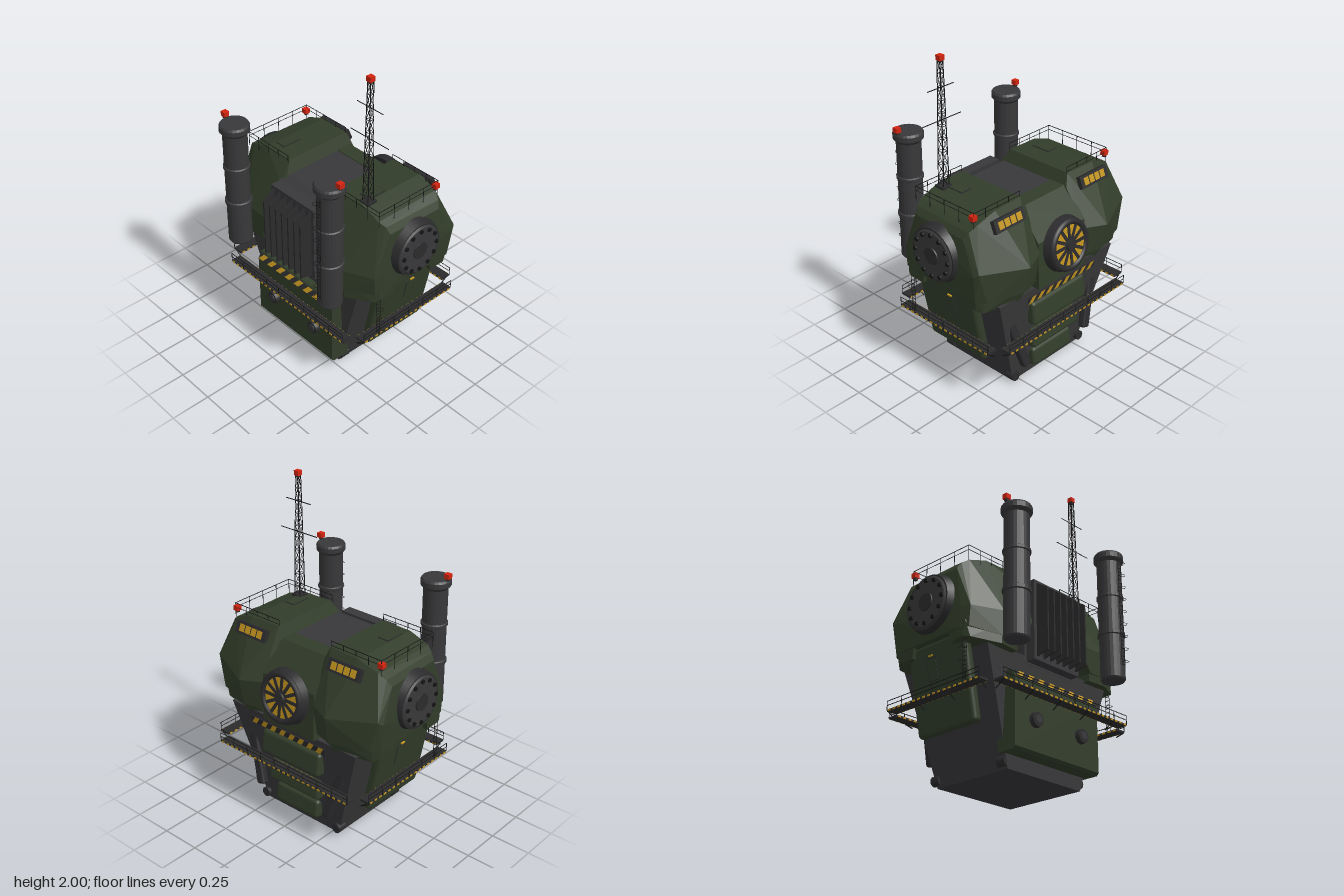
import * as THREE from 'three';
import { RoundedBoxGeometry } from 'three/addons/geometries/RoundedBoxGeometry.js';
import { ConvexGeometry } from 'three/addons/geometries/ConvexGeometry.js';

const mat = (name, color) => Object.assign(new THREE.MeshStandardMaterial({ color }), { name });
const V = (x, y, z) => new THREE.Vector3(x, y, z);

export function createModel() {
  const green = mat('armour green', 0x323d2a), grey = mat('hull grey', 0x38383a);
  const dark = mat('dark metal', 0x2b2b2d), black = mat('rail black', 0x151515);
  const yellow = mat('hazard yellow', 0xc0921e), red = mat('lamp red', 0xd42410);
  const model = new THREE.Group();

  const add = (name, geo, m, x = 0, y = 0, z = 0, parent = model) => {
    const mesh = new THREE.Mesh(geo, m);
    mesh.name = name;
    mesh.position.set(x, y, z);
    parent.add(mesh);
    return mesh;
  };
  const group = (name, x = 0, y = 0, z = 0, parent = model) => {
    const g = new THREE.Group();
    g.name = name;
    g.position.set(x, y, z);
    parent.add(g);
    return g;
  };
  const box = (name, w, h, d, m, x, y, z, parent) => add(name, new THREE.BoxGeometry(w, h, d), m, x, y, z, parent);
  const soft = (name, w, h, d, r, m, x, y, z, parent) => add(name, new RoundedBoxGeometry(w, h, d, 2, r), m, x, y, z, parent);
  const cyl = (name, r1, r2, h, n, m, x, y, z, parent) => add(name, new THREE.CylinderGeometry(r1, r2, h, n), m, x, y, z, parent);
  const hull = (name, pts, m) => add(name, new ConvexGeometry(pts.map(p => V(...p))), m);
  // thin bar between two points
  const bar = (name, a, b, r, m, parent = model) => {
    const d = b.clone().sub(a), mid = a.clone().add(b).multiplyScalar(0.5);
    const mesh = cyl(name, r, r, d.length(), 4, m, mid.x, mid.y, mid.z, parent);
    mesh.quaternion.setFromUnitVectors(V(0, 1, 0), d.normalize());
    return mesh;
  };
  // same profile (y, z pairs) on both sides of the centre plane
  const across = (w, prof) => prof.flatMap(([y, z]) => [[-w, y, z], [w, y, z]]);
  // slanted yellow stripes on a dark plate
  const hazard = (w, h, n, x, y, z) => {
    const g = group('hazardStrip', x, y, z), p = w / n;
    box('hazardPlate', w, h, 0.006, dark, 0, 0, 0, g);
    for (let i = 0; i < n; i++) {
      const x0 = -w / 2 + p * i, s = new THREE.Shape();
      s.moveTo(x0, -h / 2); s.lineTo(x0 + p * 0.5, -h / 2);
      s.lineTo(x0 + p * 0.9, h / 2); s.lineTo(x0 + p * 0.4, h / 2);
      add('hazardStripe', new THREE.ShapeGeometry(s), yellow, 0, 0, 0.004, g);
    }
    return g;
  };
  const lamp = (x, y, z) => {
    box('lampBase', 0.02, 0.02, 0.02, dark, x, y - 0.018, z);
    box('warningLamp', 0.034, 0.03, 0.034, red, x, y, z);
  };
  // caged ladder facing local +z
  const ladder = (x, y0, y1, z, turn) => {
    const g = group('ladder', x, 0, z);
    g.rotation.y = turn;
    for (const s of [-1, 1]) bar('ladderRail', V(s * 0.014, y0, 0), V(s * 0.014, y1, 0), 0.002, black, g);
    for (let y = y0 + 0.01; y < y1; y += 0.025) bar('rung', V(-0.014, y, 0), V(0.014, y, 0), 0.002, black, g);
    for (let y = y0 + 0.02; y <= y1; y += 0.08)
      add('cageHoop', new THREE.TorusGeometry(0.019, 0.0015, 4, 5), black, 0, y, 0.018, g).rotation.x = Math.PI / 2;
  };
  // railed catwalk, outer edge at local +z
  const catwalk = (len, x, z, turn) => {
    const g = group('catwalk', x, 0.405, z), h = len / 2;
    g.rotation.y = turn;
    box('deck', len, 0.012, 0.066, dark, 0, 0, 0, g);
    const n = Math.round(len / 0.04);
    for (let i = 0; i < n; i++) for (const e of [-1, 1])
      box('edgeTrim', len / n / 2, 0.01, 0.004, yellow, -h + (i + 0.5) * len / n, -0.001, e * 0.034, g);
    for (const y of [0.03, 0.056]) bar('rail', V(-h, y, 0.033), V(h, y, 0.033), 0.0025, black, g);
    const posts = Math.round(len / 0.12);
    for (let i = 0; i <= posts; i++) {
      const px = -h + i * len / posts;
      bar('post', V(px, 0, 0.033), V(px, 0.057, 0.033), 0.0025, black, g);
      if (i % 2 === 0) bar('bracket', V(px * 0.98, -0.004, 0.033), V(px * 0.98, -0.045, -0.03), 0.004, black, g);
    }
  };

  // tapered lower hull
  hull('lowerHull', [[0, 0.29, 0.21, -0.33], [0.66, 0.49, 0.25, -0.42]].flatMap(([y, x, f, b]) =>
    [[-x, y, f], [x, y, f], [-x, y, b], [x, y, b]]), grey);

  // front lower armour, stripes and round ports
  hull('frontApron', across(0.338, [[0.08, 0.18], [0.08, 0.295], [0.095, 0.31], [0.485, 0.31], [0.53, 0.285], [0.535, 0.2]]), green);
  hazard(0.66, 0.04, 8, 0, 0.507, 0.304).rotation.x = -0.5;
  for (const x of [-0.185, 0.185]) {
    cyl('frontPort', 0.04, 0.044, 0.03, 20, dark, x, 0.27, 0.322).rotation.x = Math.PI / 2;
    cyl('portCentre', 0.024, 0.024, 0.008, 16, grey, x, 0.27, 0.338).rotation.x = Math.PI / 2;
  }

  // rear lower armour
  for (const [y, h, w] of [[0.13, 0.12, 0.34], [0.29, 0.13, 0.4], [0.49, 0.15, 0.46]])
    soft('rearPanel', w, h, 0.07, 0.022, green, 0, y, -0.345 - y * 0.138 + 0.005).rotation.x = 0.137;
  hazard(0.58, 0.045, 8, 0, 0.625, -0.452).rotation.set(-0.14, Math.PI, 0);

  // centre body between the pods
  hull('centreBody', across(0.2, [[1.135, -0.3], [1.135, 0.18], [1.1, 0.25], [0.62, 0.25], [0.62, -0.3]]), grey);
  hull('rearCentre', across(0.2, [[1.14, -0.2], [1.14, -0.3], [0.96, -0.44], [0.66, -0.45], [0.66, -0.2]]), green);

  // radiator
  box('radiator', 0.37, 0.49, 0.07, grey, 0, 0.875, 0.275);
  for (let i = -3; i <= 3; i++)
    hull('radiatorFin', [-0.005, 0.005].flatMap(d => [[0.65, 0.3], [1.11, 0.3], [1.05, 0.392], [0.67, 0.392]]
      .map(([y, z]) => [i * 0.053 + d, y, z])), dark);

  // rear fan
  const fan = group('rearFan', 0, 0.89, -0.475);
  fan.rotation.set(0.15, Math.PI, 0);
  cyl('fanHousing', 0.16, 0.17, 0.05, 32, dark, 0, 0, 0, fan).rotation.x = Math.PI / 2;
  add('fanRim', new THREE.TorusGeometry(0.14, 0.02, 8, 32), dark, 0, 0, 0.022, fan);
  add('fanGlow', new THREE.CircleGeometry(0.122, 32), yellow, 0, 0, 0.028, fan);
  for (let i = 0; i < 12; i++) {
    const blade = group('fanBlade', 0, 0, 0.031, fan);
    blade.rotation.z = i * Math.PI / 6;
    box('blade', 0.02, 0.1, 0.004, dark, 0, 0.075, 0, blade);
  }
  cyl('fanHub', 0.032, 0.036, 0.02, 16, dark, 0, 0, 0.035, fan).rotation.x = Math.PI / 2;

  for (const s of [-1, 1]) {
    // faceted upper pod with front and rear feet
    hull('upperPod', [
      [.2, 1.21, .155], [.41, 1.21, .15], [.54, 1.165, .15], [.2, 1.21, -.3], [.41, 1.21, -.31], [.54, 1.165, -.3],
      [.17, 1.13, .2], [.58, 1.14, .13], [.605, 1.1, .12], [.585, 1.13, -.28], [.61, 1.09, -.26], [.17, 1.13, -.32],
      [.18, 1.08, .24], [.2, .84, .31], [.3, .69, .305], [.42, .84, .31], [.42, .69, .305],
      [.6, .84, .23], [.615, .84, .17], [.6, .72, .22], [.615, .72, .16],
      [.615, .72, -.2], [.635, .9, -.36], [.62, .92, -.39], [.615, .72, -.35],
      [.335, .89, -.505], [.335, .72, -.475], [.2, .9, -.45], [.2, .7, -.42], [.57, .72, -.4],
    ].map(([x, y, z]) => [s * x, y, z]), green);
    hull('frontFoot', [[.3, .645, .29], [.43, .645, .3], [.59, .66, .22], [.61, .67, .18], [.605, .66, .085], [.3, .645, .085],
      [.3, .76, .3], [.43, .76, .3], [.61, .76, .2], [.61, .76, .065], [.3, .76, .065]].map(([x, y, z]) => [s * x, y, z]), green);
    hull('rearFoot', [[.24, .64, -.39], [.335, .64, -.42], [.57, .64, -.37], [.6, .66, -.34], [.6, .66, -.23], [.24, .64, -.23],
      [.24, .76, -.42], [.335, .76, -.47], [.58, .76, -.38], [.615, .76, -.35], [.615, .76, -.2], [.24, .76, -.2]]
      .map(([x, y, z]) => [s * x, y, z]), green);

    // bolted side disc
    const disc = group('sideDisc', s * 0.6, 0.93, -0.062);
    disc.rotation.z = -s * Math.PI / 2;
    cyl('discBody', 0.165, 0.188, 0.07, 32, dark, 0, 0.02, 0, disc);
    cyl('discFace', 0.145, 0.16, 0.012, 32, grey, 0, 0.058, 0, disc);
    cyl('discHub', 0.052, 0.056, 0.018, 20, dark, 0, 0.063, 0, disc);
    for (let i = 0; i < 12; i++) {
      const a = i * Math.PI / 6;
      cyl('bolt', 0.013, 0.013, 0.024, 8, black, Math.cos(a) * 0.13, 0.062, Math.sin(a) * 0.13, disc);
    }

    // leaning side armour with a door
    const panel = group('sideArmour', s * 0.506, 0.48, -0.065);
    panel.rotation.z = -s * 0.2;
    soft('armourPlate', 0.062, 0.51, 0.45, 0.025, green, 0, 0, 0, panel);
    box('doorFrame', 0.005, 0.13, 0.076, dark, s * 0.031, 0.1, -0.04, panel);
    box('door', 0.008, 0.122, 0.068, green, s * 0.031, 0.1, -0.04, panel);
    box('doorLamp', 0.014, 0.008, 0.03, yellow, s * 0.034, 0.178, -0.04, panel);

    // exhaust stack
    const stack = [[0, .645], [.068, .645], [.074, .655], [.074, .92], [.082, .925], [.082, .945], [.074, .95], [.074, 1.165],
      [.081, 1.17], [.081, 1.185], [.074, 1.19], [.074, 1.405], [.091, 1.425], [.091, 1.455], [.083, 1.468], [0, 1.468]];
    const stackGeo = new THREE.LatheGeometry(stack.map(p => new THREE.Vector2(...p)), 24).toNonIndexed();
    stackGeo.computeVertexNormals();
    add('exhaustStack', stackGeo, grey, s * 0.405, 0, 0.386);
    lamp(s * 0.487, 1.495, 0.386);

    // roof rails, lamp and hatch
    const corners = [V(s * 0.2, 1.245, 0.165), V(s * 0.56, 1.245, 0.165), V(s * 0.56, 1.245, -0.295), V(s * 0.2, 1.245, -0.295)];
    for (let i = 0; i < 3; i++) {
      const a = corners[i], b = corners[i + 1], low = V(0, -0.028, 0);
      bar('roofRail', a, b, 0.0025, black);
      bar('roofRail', a.clone().add(low), b.clone().add(low), 0.002, black);
      for (let k = 0; k <= 4; k++) {
        const p = a.clone().lerp(b, k / 4);
        bar('roofPost', V(p.x, 1.15, p.z), p, 0.0025, black);
      }
    }
    lamp(s * 0.555, 1.212, -0.285);
    box('hatchFrame', 0.075, 0.006, 0.13, dark, s * 0.363, 1.211, 0.025);
    box('hatch', 0.067, 0.009, 0.122, green, s * 0.363, 1.211, 0.025);

    // rear floodlight bar
    const flood = group('floodlights', s * 0.358, 1.145, -0.36);
    flood.rotation.set(0.4, Math.PI, 0);
    box('floodHousing', 0.235, 0.075, 0.028, dark, 0, 0, 0, flood);
    for (let i = -1.5; i < 2; i++) box('floodLens', 0.038, 0.045, 0.006, yellow, i * 0.047, 0, 0.014, flood);

    // rear corner bars and feet
    soft('rearCornerBar', 0.06, 0.4, 0.05, 0.015, dark, s * 0.32, 0.34, -0.385).rotation.set(0.137, 0, -s * 0.29);
    cyl('cornerRoller', 0.03, 0.03, 0.06, 16, dark, s * 0.29, 0.045, -0.33).rotation.x = Math.PI / 2;
    cyl('frontRoller', 0.03, 0.03, 0.06, 16, dark, s * 0.29, 0.045, 0.18).rotation.x = Math.PI / 2;

    catwalk(0.73, s * 0.565, -0.065, s * Math.PI / 2);
    ladder(s * 0.595, 0.42, 0.66, 0.185, s * Math.PI / 2);
  }
  catwalk(1.02, 0, 0.355, 0);
  catwalk(1.02, 0, -0.482, Math.PI);
  ladder(0.405, 0.72, 1.4, 0.468, 0);

  // lattice mast
  const mast = group('mast', 0.405, 0, 0.1), levels = 10;
  box('mastBase', 0.07, 0.015, 0.07, dark, 0, 1.212, 0, mast);
  const corner = (l, k) => {
    const r = 0.022 - 0.011 * l / levels, a = Math.PI / 4 + k * Math.PI / 2;
    return V(Math.cos(a) * r * 1.41, 1.2 + 0.77 * l / levels, Math.sin(a) * r * 1.41);
  };
  for (let k = 0; k < 4; k++) {
    bar('mastLeg', corner(0, k), corner(levels, k), 0.0035, black, mast);
    for (let l = 0; l < levels; l++) {
      bar('mastBrace', corner(l, k + (l % 2)), corner(l + 1, k + 1 - (l % 2)), 0.002, black, mast);
      bar('mastRing', corner(l + 1, k), corner(l + 1, k + 1), 0.002, black, mast);
    }
  }
  bar('lowerAerial', V(-0.145, 1.62, 0), V(0.145, 1.62, 0), 0.003, black, mast);
  bar('upperAerial', V(-0.097, 1.812, 0), V(0.097, 1.812, 0), 0.003, black, mast);
  lamp(0.405, 1.985, 0.1);
  return model;
}
